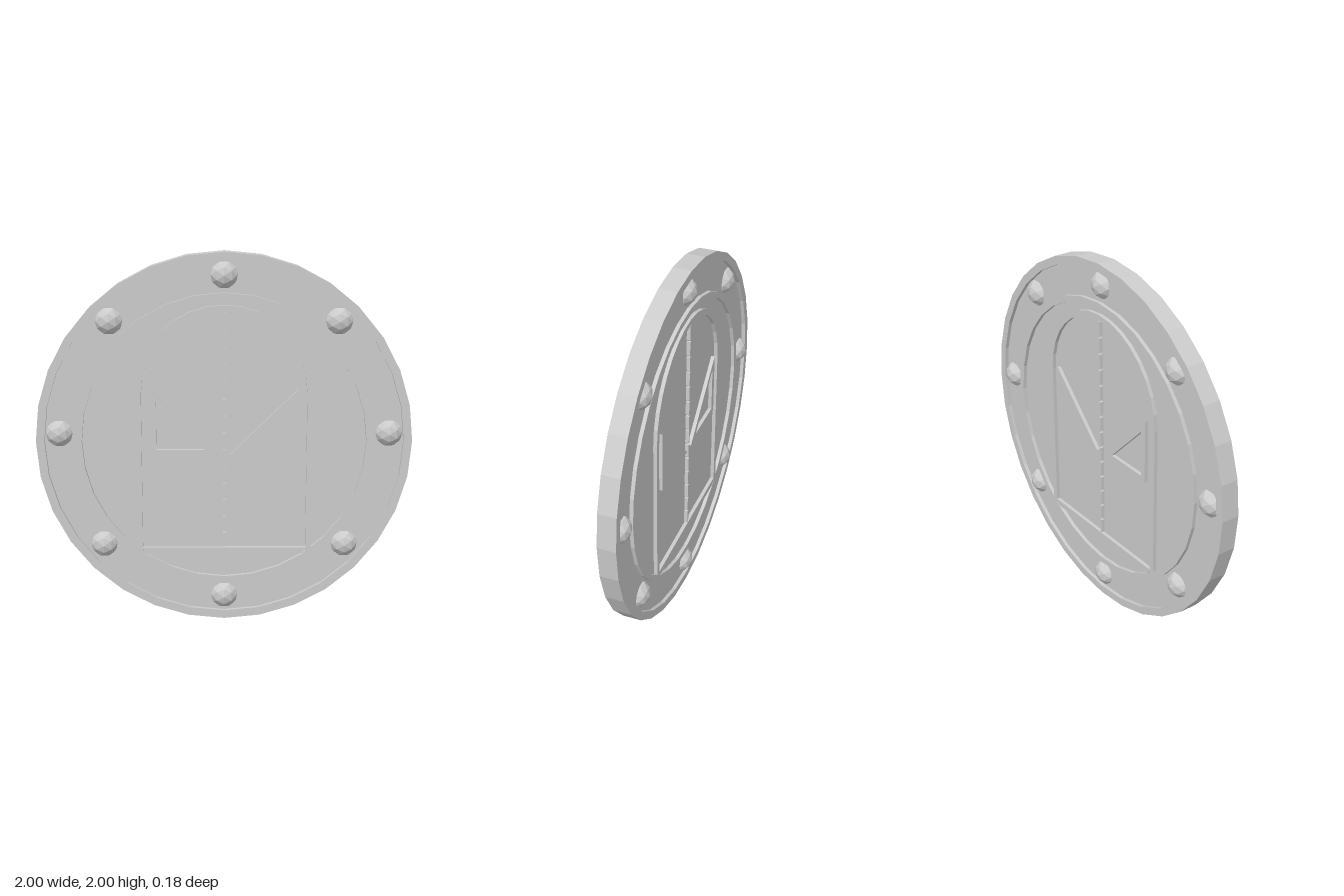
import * as THREE from 'three';

const HALF = 0.05;      // half thickness of rim and raised ridges
const BASE = 0.03;      // half thickness of the recessed plate
const material = new THREE.MeshStandardMaterial({ color: 0xcccccc, flatShading: true });

const V = (x, y) => new THREE.Vector2(x, y);

// Regular polygon outline with a vertex at the top
function circle(r, sides = 32) {
  return Array.from({ length: sides }, (_, i) => {
    const a = Math.PI / 2 + (i / sides) * Math.PI * 2;
    return V(r * Math.cos(a), r * Math.sin(a));
  });
}

// Extrude an outline (with optional hole) evenly to both sides of the middle plane
function slab(name, outline, hole, half = HALF) {
  const shape = new THREE.Shape(outline);
  if (hole) shape.holes.push(new THREE.Path(hole));
  const geo = new THREE.ExtrudeGeometry(shape, { depth: half * 2, bevelEnabled: false });
  geo.translate(0, 0, -half);
  const mesh = new THREE.Mesh(geo, material);
  mesh.name = name;
  return mesh;
}

// Half-round arch points from right to left
function arc(r, cy, steps = 16) {
  return Array.from({ length: steps + 1 }, (_, i) => {
    const a = (i / steps) * Math.PI;
    return V(r * Math.cos(a), cy + r * Math.sin(a));
  });
}

export function createModel() {
  const group = new THREE.Group();
  group.name = 'roundShield';
  const shield = new THREE.Group();
  shield.name = 'shieldBody';
  shield.position.y = 1;
  shield.rotation.x = -0.01;   // slight backward lean
  group.add(shield);

  // Plate, outer rim and inner ring
  shield.add(slab('plate', circle(0.97), null, BASE));
  shield.add(slab('outerRim', circle(1), circle(0.955)));
  shield.add(slab('innerRing', circle(0.79), circle(0.757)));

  // Arched frame and the bar closing it at the bottom
  const arch = [
    V(0.47, -0.595), ...arc(0.47, 0.255), V(-0.47, -0.595),
    V(-0.44, -0.62), ...arc(0.44, 0.255).reverse(), V(0.44, -0.62),
  ];
  shield.add(slab('archFrame', arch));
  shield.add(slab('bottomBar', [V(-0.42, -0.626), V(0.42, -0.626), V(0.45, -0.592), V(-0.45, -0.592)]));

  // Triangular eye frames
  for (const s of [1, -1]) {
    shield.add(slab(s > 0 ? 'leftEyeFrame' : 'rightEyeFrame',
      [V(s * 0.392, 0.28), V(s * 0.392, -0.075), V(s * 0.03, -0.075)],
      [V(s * 0.361, 0.212), V(s * 0.361, -0.047), V(s * 0.105, -0.047)]));
  }

  // Dashed centre line
  const dashes = 14, bottom = -0.592, pitch = 1.285 / dashes;
  const dashGeo = new THREE.BoxGeometry(0.013, pitch - 0.012, HALF * 2);
  for (let i = 0; i < dashes; i++) {
    const dash = new THREE.Mesh(dashGeo, material);
    dash.name = 'centreDash';
    dash.position.y = bottom + (i + 0.5) * pitch;
    shield.add(dash);
  }

  // Faceted studs reaching through both faces
  const studGeo = new THREE.IcosahedronGeometry(0.079, 1);
  const studs = [[0, 0.88], [0, -0.87]];
  for (const s of [1, -1]) studs.push([s * 0.602, 0.64], [s * 0.877, 0.04], [s * 0.65, -0.575]);
  for (const [x, y] of studs) {
    const stud = new THREE.Mesh(studGeo, material);
    stud.name = 'stud';
    stud.position.set(x, y, 0);
    shield.add(stud);
  }
  return group;
}
